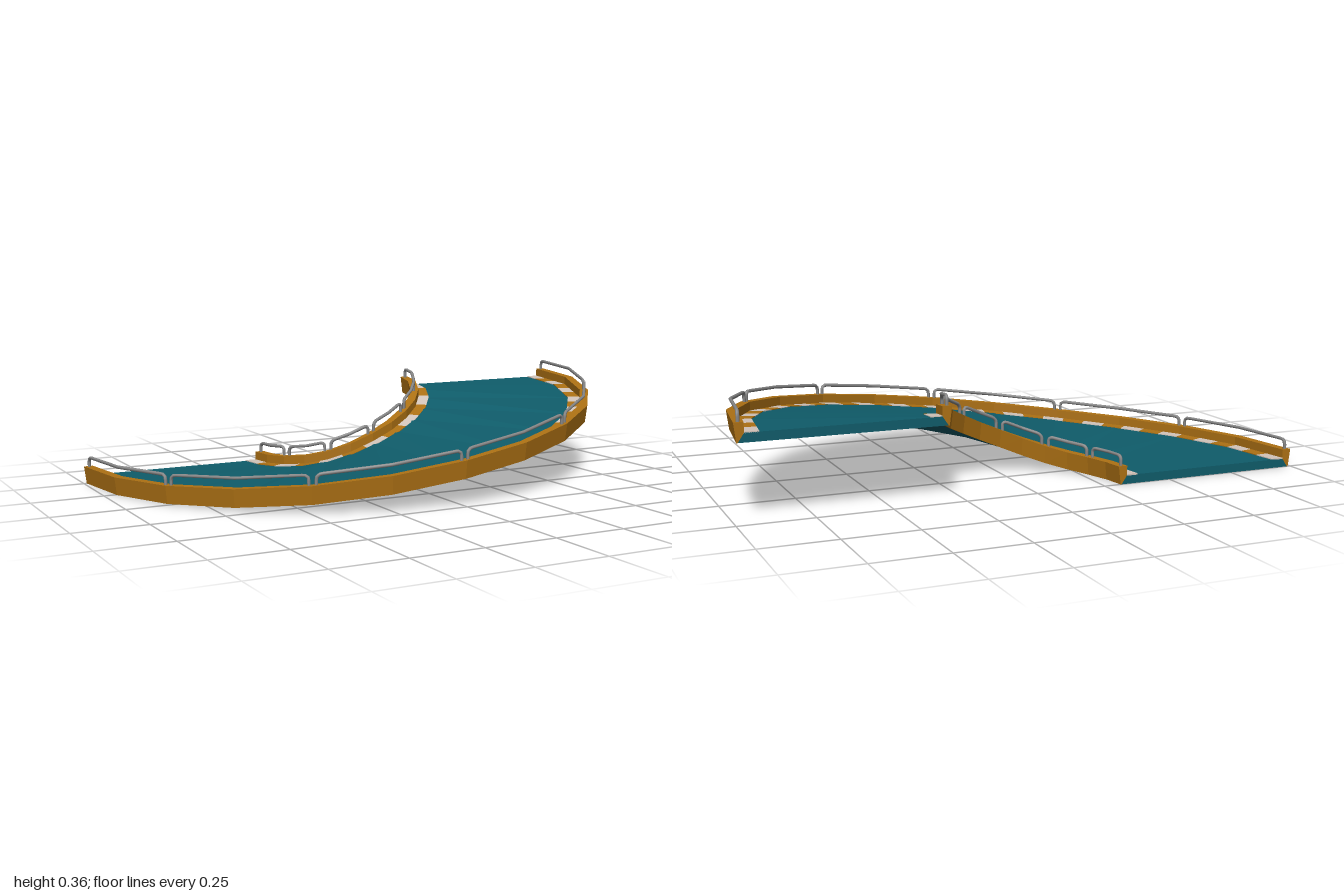
import * as THREE from 'three';
import { mergeGeometries } from 'three/addons/utils/BufferGeometryUtils.js';

const SEGMENTS = 12;
// height of the underside at each 15 degree step of the climbing half turn
const RISE = [0, 0, 0.003, 0.012, 0.03, 0.058, 0.092, 0.127, 0.162, 0.194, 0.222, 0.245, 0.254];

// point on the faceted ramp: t runs 0..12 from the low end to the high end
function rampPoint(t, r, y) {
  const i = Math.min(Math.floor(t), SEGMENTS - 1), f = t - i;
  const node = k => {
    const a = (k / SEGMENTS) * Math.PI;
    return new THREE.Vector3(-r * Math.cos(a), y + RISE[k], -0.5 + r * Math.sin(a));
  };
  return node(i).lerp(node(i + 1), f);
}

// sweep a convex counter-clockwise (radius, height) section along the ramp
function sweep(section, t0 = 0, t1 = SEGMENTS) {
  const stops = [t0];
  for (let k = Math.floor(t0) + 1; k < t1 - 1e-6; k++) stops.push(k);
  stops.push(t1);
  const n = section.length, pos = [], index = [];
  stops.forEach(t => section.forEach(([r, y]) => pos.push(...rampPoint(t, r, y).toArray())));
  for (let j = 0; j < stops.length - 1; j++) {
    for (let i = 0; i < n; i++) {
      const a = j * n + i, b = j * n + (i + 1) % n;
      index.push(a, a + n, b + n, a, b + n, b);
    }
  }
  const end = (stops.length - 1) * n;
  for (let i = 1; i < n - 1; i++) {
    index.push(0, i, i + 1, end, end + i + 1, end + i);
  }
  const g = new THREE.BufferGeometry();
  g.setAttribute('position', new THREE.Float32BufferAttribute(pos, 3));
  g.setIndex(index);
  const flat = g.toNonIndexed();
  flat.computeVertexNormals();
  return flat;
}

// one bent-tube guard rail with a post at each end and rounded corners
function railGeometry(t0, t1, r) {
  const perUnit = SEGMENTS / (Math.PI * r);
  const a = t0 + 0.012 * perUnit, b = t1 - 0.012 * perUnit, c = 0.02 * perUnit;
  const base = 0.055, low = 0.08, top = 0.097, mid = (t0 + t1) / 2;
  const p = (t, y) => rampPoint(t, r, y);
  const path = new THREE.CurvePath();
  path.add(new THREE.LineCurve3(p(a, base), p(a, low)));
  path.add(new THREE.QuadraticBezierCurve3(p(a, low), p(a, top), p(a + c, top)));
  path.add(new THREE.LineCurve3(p(a + c, top), p(mid, top)));
  path.add(new THREE.LineCurve3(p(mid, top), p(b - c, top)));
  path.add(new THREE.QuadraticBezierCurve3(p(b - c, top), p(b, top), p(b, low)));
  path.add(new THREE.LineCurve3(p(b, low), p(b, base)));
  return new THREE.TubeGeometry(path, 48, 0.006, 6, false);
}

export function createModel() {
  const group = new THREE.Group();
  const paint = (color, flatShading = true) => new THREE.MeshStandardMaterial({ color, flatShading });
  const teal = paint(0x0f5c6a), ochre = paint(0xad7114), white = paint(0xd2c4ba);
  const steel = paint(0x8a8a8a, false);
  steel.side = THREE.DoubleSide;
  const add = (name, geometry, material) => {
    const mesh = new THREE.Mesh(geometry, material);
    mesh.name = name;
    group.add(mesh);
  };

  // road slab
  add('roadDeck', sweep([[0.314, 0], [0.986, 0], [0.966, 0.03], [0.334, 0.03]]), teal);

  // side walls
  add('outerWall', sweep([[0.986, 0], [0.99, 0], [0.998, 0.063], [0.966, 0.063], [0.966, 0.03]]), ochre);
  add('innerWall', sweep([[0.31, 0], [0.314, 0], [0.334, 0.03], [0.334, 0.063], [0.302, 0.063]]), ochre);

  // striped kerbs along both walls
  const stripes = (name, r0, r1, count) => {
    const sets = [[], []];
    for (let i = 0; i < count; i++) {
      const section = [[r0, 0.028], [r1, 0.028], [r1, 0.033], [r0, 0.033]];
      sets[i % 2].push(sweep(section, (i * SEGMENTS) / count, ((i + 1) * SEGMENTS) / count));
    }
    add(name + 'WhiteStripes', mergeGeometries(sets[0]), white);
    add(name + 'OchreStripes', mergeGeometries(sets[1]), ochre);
  };
  stripes('outerKerb', 0.92, 0.967, 37);
  stripes('innerKerb', 0.333, 0.375, 13);

  // guard rails, one per 30 degrees
  for (const [name, r] of [['outerGuardRail', 0.983], ['innerGuardRail', 0.317]]) {
    for (let t = 0; t < SEGMENTS; t += 2) add(name, railGeometry(t, t + 2, r), steel);
  }
  return group;
}
